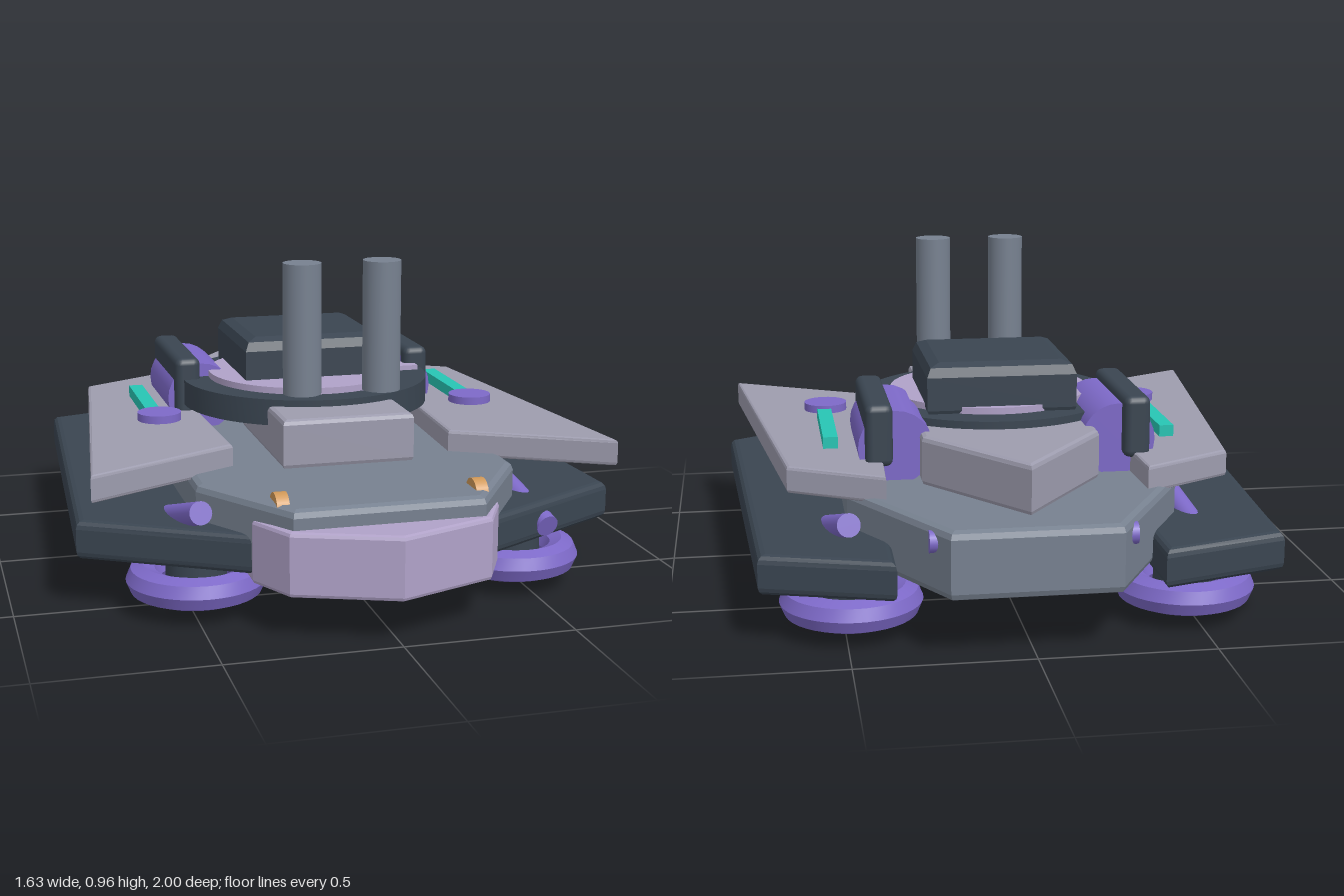
import * as THREE from 'three';
import { toCreasedNormals } from 'three/addons/utils/BufferGeometryUtils.js';
import { RoundedBoxGeometry } from 'three/addons/geometries/RoundedBoxGeometry.js';

const paint = (name, color) => {
  const m = new THREE.MeshStandardMaterial({ color });
  m.name = name;
  return m;
};

export function createModel() {
  const model = new THREE.Group();
  model.name = 'hoverTank';
  const grey = paint('hull grey', 0x778190);
  const pale = paint('pale grey', 0x9d9cae);
  const dark = paint('dark slate', 0x3a4551);
  const lilac = paint('lilac', 0xb0a2c8);
  const purple = paint('purple', 0x7d69c8);
  const teal = paint('teal', 0x27c5b4);
  const amber = paint('amber', 0xd09858);

  const add = (name, geo, mat, x = 0, y = 0, z = 0) => {
    const m = new THREE.Mesh(geo, mat);
    m.name = name;
    m.position.set(x, y, z);
    model.add(m);
    return m;
  };

  // Bevelled horizontal plate from an [x, z] outline
  const plate = (name, pts, y0, y1, b, mat, segs = 2) => {
    const shape = new THREE.Shape(pts.map(([x, z]) => new THREE.Vector2(x, -z)));
    const geo = new THREE.ExtrudeGeometry(shape, {
      depth: y1 - y0 - 2 * b, bevelEnabled: true, bevelThickness: b,
      bevelSize: b, bevelOffset: -b, bevelSegments: segs,
    });
    geo.rotateX(-Math.PI / 2);
    return add(name, geo, mat, 0, y0 + b, 0);
  };
  const mirrored = (pts) => [...pts, ...pts.filter(([x]) => x > 0).reverse().map(([x, z]) => [-x, z])];
  const cyl = (r, h, seg = 32) => new THREE.CylinderGeometry(r, r, h, seg);

  // Hull, nose and deck
  plate('hull', mirrored([[0.235, -1], [0.48, -0.57], [0.48, 0.55], [0.275, 0.875]]), 0.17, 0.365, 0.022, grey);
  plate('noseBumper', mirrored([[0, 1], [0.29, 0.89], [0.36, 0.75], [0.36, 0.6]]), 0.125, 0.31, 0.012, lilac);
  plate('rearDeck', mirrored([[0, -0.88], [0.26, -0.53], [0.26, -0.25]]), 0.36, 0.507, 0.015, pale);
  plate('frontDeck', mirrored([[0.2, -0.1], [0.2, 0.455]]), 0.36, 0.51, 0.015, pale);

  // Turret
  const ringShape = new THREE.Shape().absarc(0, 0, 0.395, 0, Math.PI * 2);
  ringShape.holes.push(new THREE.Path().absarc(0, 0, 0.3, 0, Math.PI * 2, true));
  const ring = new THREE.ExtrudeGeometry(ringShape, { depth: 0.08, bevelEnabled: false, curveSegments: 32 });
  ring.rotateX(-Math.PI / 2);
  add('turretRing', toCreasedNormals(ring, 0.5), dark, 0, 0.45, -0.085);
  add('turretDisc', cyl(0.31, 0.1, 48), lilac, 0, 0.5, -0.08);
  add('turretTab', new THREE.BoxGeometry(0.08, 0.04, 0.075), lilac, 0.335, 0.525, -0.083);
  plate('turretCabin', mirrored([[0.225, -0.365], [0.225, 0.068]]), 0.5, 0.68, 0.04, dark);

  // Central lift drum
  add('liftDrum', cyl(0.227, 0.118, 48), purple, 0, 0.059, -0.08);

  // Hover wheel ring with an octagonal section
  const wheel = new THREE.TorusGeometry(0.154, 0.049, 8, 40).rotateX(Math.PI / 2);
  const wheelGeo = toCreasedNormals(wheel, 0.5);

  for (const s of [1, -1]) {
    const side = s > 0 ? 'left' : 'right';
    const flip = (pts) => pts.map(([x, z]) => [s * x, z]);

    // Side pod and wing armour
    plate(side + 'Pod', flip([[0.37, -0.92], [0.74, -0.81], [0.815, 0.485], [0.35, 0.745]]), 0.147, 0.262, 0.024, dark, 3);
    plate(side + 'Wing', flip([[0.375, -0.67], [0.648, -0.52], [0.785, 0.62], [0.335, 0.38]]), 0.35, 0.43, 0.01, pale);

    // Vertical barrel above the front deck
    add(side + 'Barrel', cyl(0.057, 0.39), grey, s * 0.122, 0.765, 0.37);

    // Shoulder drum and its guard
    add(side + 'ShoulderDrum', cyl(0.11, 0.355, 24).rotateX(Math.PI / 2), purple, s * 0.33, 0.462, -0.297);
    add(side + 'ShoulderGuard', new RoundedBoxGeometry(0.08, 0.185, 0.435, 2, 0.022), dark, s * 0.38, 0.505, -0.295);

    // Wing light bar and cap
    add(side + 'LightBar', new THREE.BoxGeometry(0.044, 0.152, 0.39), teal, s * 0.512, 0.389, -0.14);
    add(side + 'WingCap', cyl(0.067, 0.024), purple, s * 0.505, 0.462, 0.095);

    // Nose lamp and tail boss
    add(side + 'NoseLamp', cyl(0.048, 0.036, 20).rotateZ(Math.PI / 2), amber, s * 0.287, 0.342, 0.768);
    add(side + 'TailBoss', cyl(0.031, 0.05, 20).rotateZ(Math.PI / 2), purple, s * 0.26, 0.318, -0.92);

    // Hover wheels
    for (const z of [0.54, -0.07, -0.69]) {
      add(side + 'WheelRing', wheelGeo, purple, s * 0.48, 0.088, z);
      add(side + 'WheelHub', cyl(0.088, 0.1), dark, s * 0.48, 0.11, z);
    }

    // Slanted struts, turned half round from one side to the other
    for (const z of [0.46, -0.53]) {
      const low = new THREE.Vector3(s * 0.555, 0.19, z + s * 0.19);
      const high = new THREE.Vector3(s * 0.485, 0.31, z - s * 0.19);
      const strut = add(side + 'Strut', cyl(0.034, low.distanceTo(high), 20), purple);
      strut.position.copy(low).add(high).multiplyScalar(0.5);
      strut.quaternion.setFromUnitVectors(new THREE.Vector3(0, 1, 0), high.clone().sub(low).normalize());
    }
  }
  return model;
}
